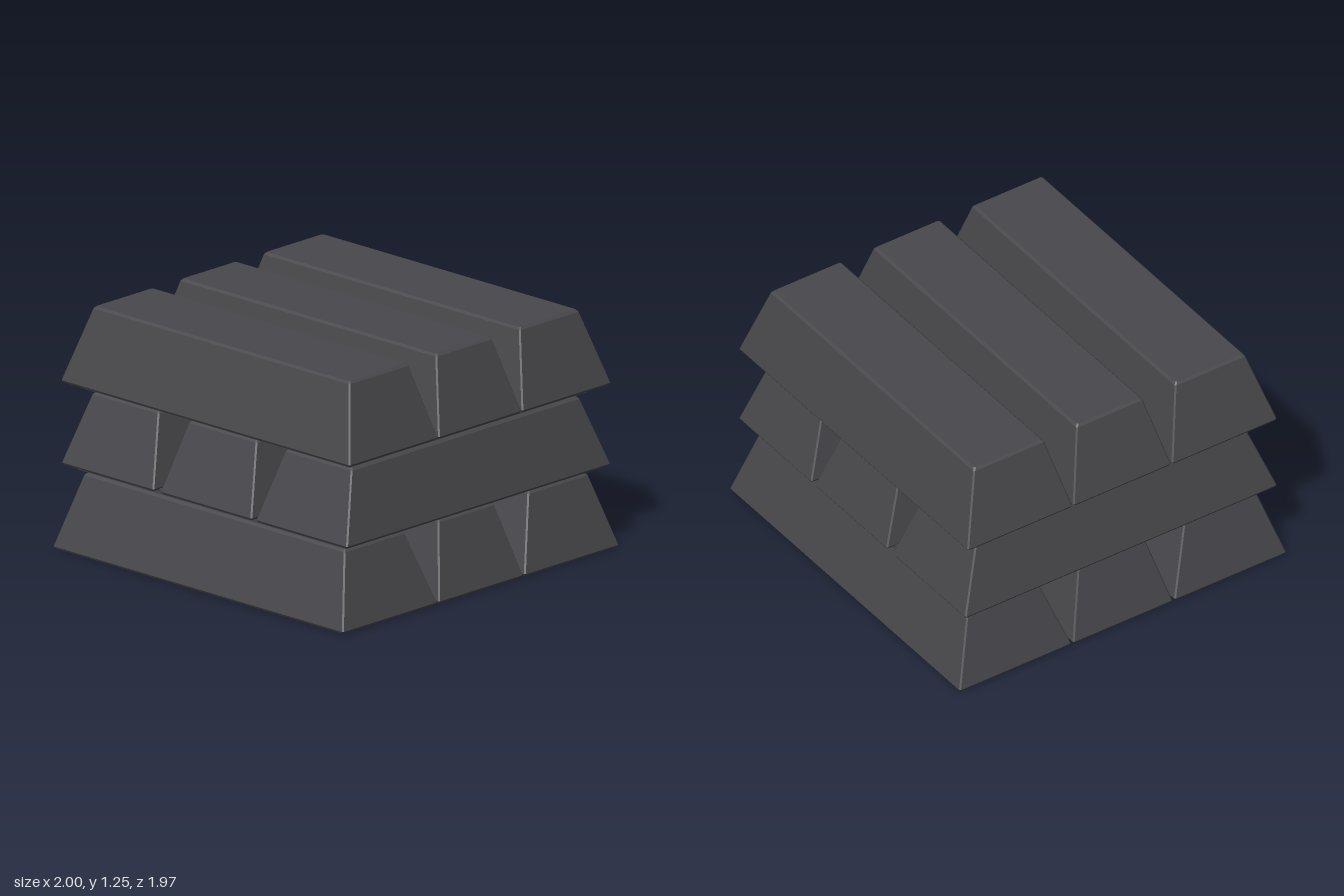
import * as THREE from 'three';

const metal = new THREE.MeshStandardMaterial({ color: 0x48474b });
metal.name = 'dark metal';

// Rectangle [x0, x1, z0, z1] with cut corners, as a loop of 8 points at height y
function ring([x0, x1, z0, z1], y, inset, cut) {
  x0 += inset; x1 -= inset; z0 += inset; z1 -= inset;
  return [
    [x0 + cut, z1], [x1 - cut, z1], [x1, z1 - cut], [x1, z0 + cut],
    [x1 - cut, z0], [x0 + cut, z0], [x0, z0 + cut], [x0, z1 - cut],
  ].map(([x, z]) => new THREE.Vector3(x, y, z));
}

// Tapered bar with narrow bevels, lofted from four loops and capped
function ingotGeometry(base, top, y0, y1) {
  const c = 0.012;
  const rings = [
    ring(base, y0, c * 0.6, c * 0.6),
    ring(base, y0 + c, 0, c * 0.6),
    ring(top, y1 - c, 0, c * 0.6),
    ring(top, y1, c, c * 0.6),
  ];
  const points = [];
  const tri = (a, b, d) => points.push(a, b, d);
  for (let r = 0; r < 3; r++) {
    for (let i = 0; i < 8; i++) {
      const j = (i + 1) % 8;
      tri(rings[r][i], rings[r][j], rings[r + 1][j]);
      tri(rings[r][i], rings[r + 1][j], rings[r + 1][i]);
    }
  }
  for (let i = 1; i < 7; i++) {
    tri(rings[3][0], rings[3][i], rings[3][i + 1]);
    tri(rings[0][0], rings[0][i + 1], rings[0][i]);
  }
  const geometry = new THREE.BufferGeometry().setFromPoints(points);
  geometry.computeVertexNormals();
  return geometry;
}

// Each bar: extent across the layer at its base and at its top
const layers = [
  { name: 'bottomIngot', y: [0, 0.39], along: 'x', length: [1.0, 0.9],
    bars: [[-0.985, -0.312, -0.87, -0.44], [-0.3, 0.3, -0.2, 0.2], [0.312, 0.985, 0.44, 0.87]] },
  { name: 'middleIngot', y: [0.43, 0.8], along: 'z', length: [0.94, 0.815],
    bars: [[-0.985, -0.35, -0.895, -0.435], [-0.302, 0.325, -0.23, 0.24], [0.355, 0.985, 0.435, 0.895]] },
  { name: 'topIngot', y: [0.855, 1.25], along: 'x', length: [0.995, 0.885],
    bars: [[-0.933, -0.3, -0.82, -0.395], [-0.295, 0.295, -0.2, 0.2], [0.3, 0.933, 0.395, 0.82]] },
];

export function createModel() {
  const group = new THREE.Group();
  group.name = 'ingotStack';
  const add = (geometry, name) => {
    const mesh = new THREE.Mesh(geometry, metal);
    mesh.name = name;
    group.add(mesh);
    return mesh;
  };

  // Three layers of ingots, the middle one turned across the others
  for (const { name, y, along, length, bars } of layers) {
    bars.forEach(([b0, b1, t0, t1], i) => {
      const rect = (half, lo, hi) => (along === 'x' ? [-half, half, lo, hi] : [lo, hi, -half, half]);
      add(ingotGeometry(rect(length[0], b0, b1), rect(length[1], t0, t1), y[0], y[1]), name + (i + 1));
    });
  }

  // Thin spacer plates under the upper two layers
  add(new THREE.BoxGeometry(1.84, 0.028, 1.78), 'lowerSpacer').position.set(0, 0.422, 0);
  add(new THREE.BoxGeometry(1.83, 0.038, 1.7), 'upperSpacer').position.set(0, 0.838, 0);

  return group;
}
